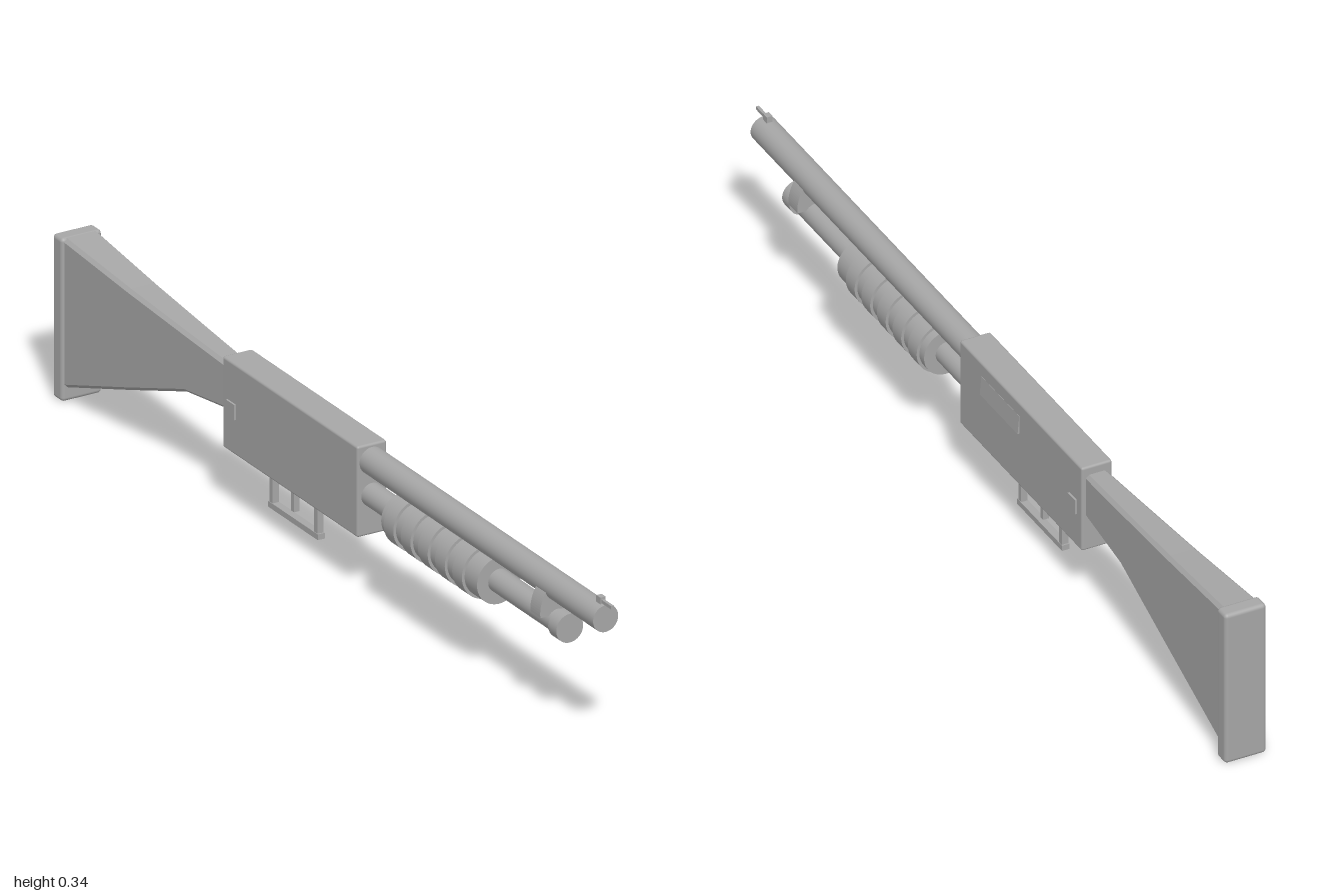
import * as THREE from 'three';
import { RoundedBoxGeometry } from 'three/addons/geometries/RoundedBoxGeometry.js';

export function createModel() {
  const root = new THREE.Group();
  const grey = new THREE.MeshStandardMaterial({ color: 0xa6a6a6 });
  grey.name = 'plain grey';

  const add = (name, geo, x = 0, y = 0, z = 0) => {
    const m = new THREE.Mesh(geo, grey);
    m.name = name;
    m.position.set(x, y, z);
    root.add(m);
    return m;
  };
  // cylinder lying along z, from z0 to z1
  const tube = (name, r, y, z0, z1, seg = 40) =>
    add(name, new THREE.CylinderGeometry(r, r, z1 - z0, seg).rotateX(Math.PI / 2), 0, y, (z0 + z1) / 2);
  // box from its y and z limits, centred on x
  const box = (name, w, y0, y1, z0, z1, x = 0) =>
    add(name, new THREE.BoxGeometry(w, y1 - y0, z1 - z0), x, (y0 + y1) / 2, (z0 + z1) / 2);

  // barrel, magazine tube and its end cap
  tube('barrel', 0.028, 0.28, 0.1, 0.975);
  tube('magazineTube', 0.024, 0.209, 0.1, 0.83);
  tube('magazineCap', 0.03, 0.209, 0.812, 0.842);

  // front sight: post with a thin blade reaching past the muzzle
  box('sightPost', 0.012, 0.302, 0.321, 0.95, 0.965);
  box('sightBlade', 0.006, 0.309, 0.316, 0.95, 1);

  // saddle joining the barrel and the magazine tube
  const saddle = new THREE.Shape();
  saddle.moveTo(-0.039, 0.222);
  saddle.lineTo(0.039, 0.222);
  saddle.bezierCurveTo(0.041, 0.245, 0.034, 0.262, 0.025, 0.276);
  saddle.lineTo(-0.025, 0.276);
  saddle.bezierCurveTo(-0.034, 0.262, -0.041, 0.245, -0.039, 0.222);
  add('barrelBand', new THREE.ExtrudeGeometry(saddle, { depth: 0.036, bevelEnabled: false }), 0, 0, 0.762);

  // ribbed pump grip
  tube('pumpGrip', 0.049, 0.209, 0.225, 0.58);
  for (let i = 0; i < 5; i++) {
    const z = 0.262 + i * 0.0635;
    tube('pumpRib', 0.055, 0.209, z - 0.018, z + 0.018);
  }

  // receiver
  add('receiver', new RoundedBoxGeometry(0.066, 0.19, 0.5, 2, 0.005), 0, 0.22, -0.14);

  // ejection port cover: wedge flush at the top, proud at the bottom
  const cover = new THREE.Shape();
  cover.moveTo(0.03, 0.245);
  cover.lineTo(0.037, 0.245);
  cover.lineTo(0.0335, 0.285);
  cover.lineTo(0.03, 0.285);
  add('portCover', new THREE.ExtrudeGeometry(cover, { depth: 0.155, bevelEnabled: false }), 0, 0, -0.135);

  // safety button on each side
  for (const s of [-1, 1]) box('safetyButton', 0.006, 0.2, 0.232, -0.37, -0.34, s * 0.034);

  // trigger and guard
  box('guardBase', 0.016, 0.043, 0.055, -0.262, -0.078);
  box('guardFront', 0.014, 0.05, 0.13, -0.093, -0.081);
  box('guardRear', 0.014, 0.05, 0.13, -0.259, -0.247);
  box('trigger', 0.012, 0.066, 0.13, -0.181, -0.169);

  // stock: chamfered sections [z, bottom, top, half width]
  const sections = [
    [-0.385, 0.2, 0.296, 0.024],
    [-0.54, 0.18, 0.306, 0.028],
    [-0.74, 0.108, 0.32, 0.033],
    [-0.968, 0.028, 0.34, 0.039],
  ];
  const c = 0.007;
  const rings = sections.map(([z, b, t, w]) => [
    [w - c, b], [w, b + c], [w, t - c], [w - c, t],
    [c - w, t], [-w, t - c], [-w, b + c], [c - w, b],
  ].map(([x, y]) => [x, y, z]));
  const pos = [];
  const tri = (...pts) => pts.forEach((p) => pos.push(...p));
  for (let i = 0; i < rings.length - 1; i++) {
    for (let j = 0; j < 8; j++) {
      const k = (j + 1) % 8;
      const [a, b, d, e] = [rings[i][j], rings[i][k], rings[i + 1][j], rings[i + 1][k]];
      tri(a, d, b);
      tri(b, d, e);
    }
  }
  const first = rings[0], last = rings[rings.length - 1];
  for (let j = 1; j < 7; j++) {
    tri(first[0], first[j], first[j + 1]);
    tri(last[0], last[j + 1], last[j]);
  }
  const stock = new THREE.BufferGeometry();
  stock.setAttribute('position', new THREE.Float32BufferAttribute(pos, 3));
  stock.computeVertexNormals();
  add('stock', stock);

  // butt plate
  add('buttPlate', new RoundedBoxGeometry(0.09, 0.341, 0.036, 3, 0.008), 0, 0.1705, -0.982);

  return root;
}
